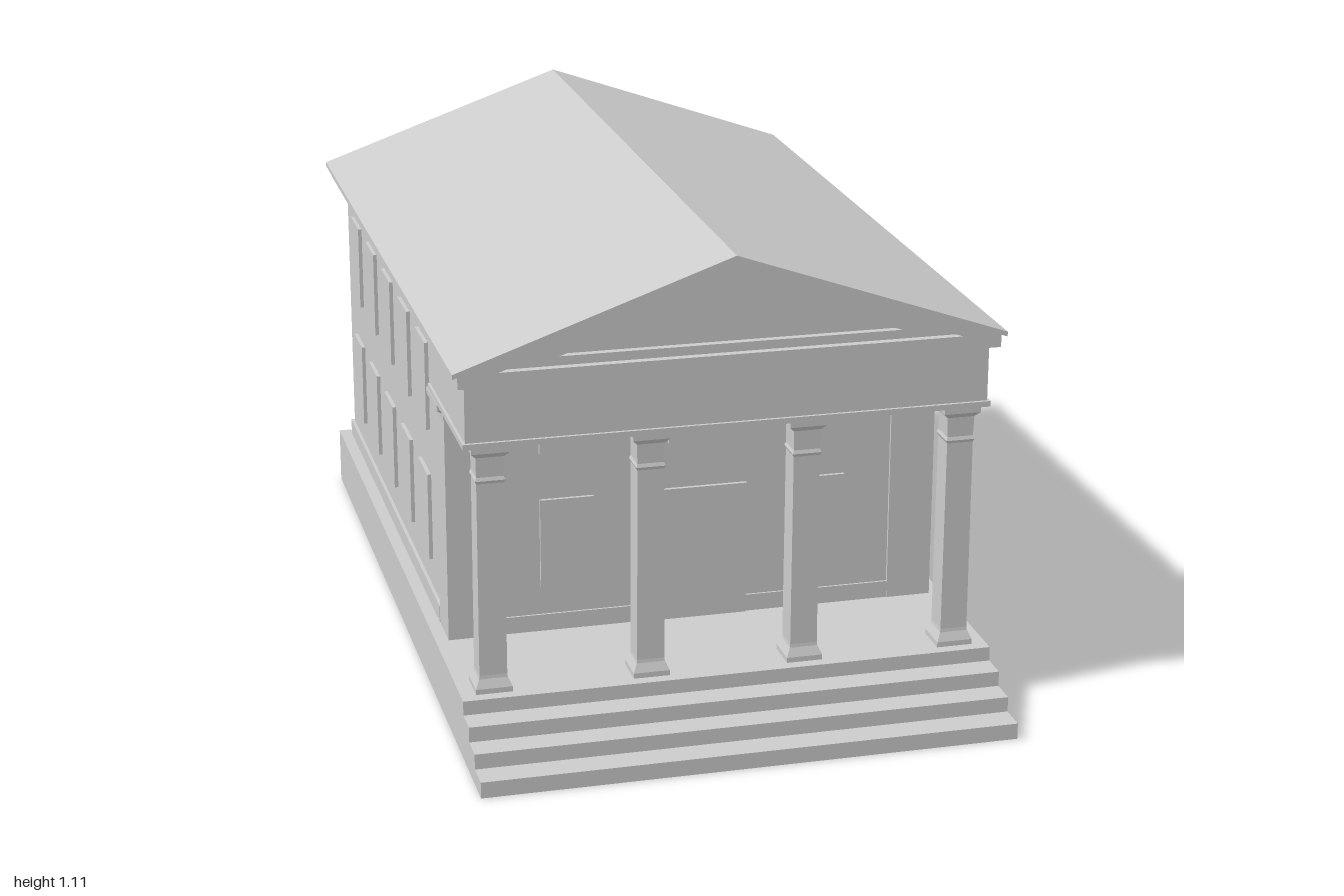
import * as THREE from 'three';

const stone = new THREE.MeshStandardMaterial({ color: 0xcccccc, flatShading: true });
stone.name = 'grey stone';

export function createModel() {
  const model = new THREE.Group();
  model.name = 'temple';

  const add = (name, geometry) => {
    const mesh = new THREE.Mesh(geometry, stone);
    mesh.name = name;
    model.add(mesh);
    return mesh;
  };

  // Box given by its limits on each axis
  const block = (name, x0, x1, y0, y1, z0, z1) => {
    const mesh = add(name, new THREE.BoxGeometry(x1 - x0, y1 - y0, z1 - z0));
    mesh.position.set((x0 + x1) / 2, (y0 + y1) / 2, (z0 + z1) / 2);
    return mesh;
  };

  // Outline in x and y, extruded from z0 to z1, with an optional hole
  const toPoints = (list) => list.map(([x, y]) => new THREE.Vector2(x, y));
  const slab = (name, outline, z0, z1, hole) => {
    const shape = new THREE.Shape(toPoints(outline));
    if (hole) shape.holes.push(new THREE.Path(toPoints(hole)));
    const mesh = add(name, new THREE.ExtrudeGeometry(shape, { depth: z1 - z0, bevelEnabled: false }));
    mesh.position.z = z0;
    return mesh;
  };

  // Square pier turned from a [half width, height] profile
  const pier = (name, profile, x, z, sx = 1, sz = 1) => {
    const points = toPoints(profile.map(([w, y]) => [w * Math.SQRT2, y]));
    const geometry = new THREE.LatheGeometry(points, 4).rotateY(Math.PI / 4).toNonIndexed();
    geometry.computeVertexNormals();
    const mesh = add(name, geometry);
    mesh.position.set(x, 0, z);
    mesh.scale.set(sx, 1, sz);
  };

  // Platform and front steps
  block('platform', -0.605, 0.605, 0, 0.14, -0.99, 0.81);
  [[0.107, 0.873], [0.072, 0.935], [0.037, 1]].forEach(([top, front]) =>
    block('step', -0.605, 0.605, 0, top, 0.8, front));

  // Main hall with a low plinth
  block('hall', -0.568, 0.568, 0.14, 0.856, -0.95, 0.47);
  block('hallPlinth', -0.576, 0.576, 0.14, 0.18, -0.96, 0.37);
  block('frontPlinth', -0.47, 0.47, 0.14, 0.18, 0.4, 0.475);

  // Corner pilasters with flared capitals
  const capital = [[0, 0.655], [0.0525, 0.655], [0.054, 0.685], [0.07, 0.698], [0.07, 0.712], [0, 0.712]];
  for (const side of [-1, 1]) {
    const pilaster = block('pilaster', -0.0525, 0.0525, 0.14, 0.856, 0.37, 0.477);
    pilaster.position.x = side * 0.5225;
    pier('pilasterCapital', capital, side * 0.5225, 0.425, 1, 0.95);
  }

  // Porch columns
  const column = [
    [0, 0.14], [0.041, 0.14], [0.041, 0.152], [0.032, 0.172], [0.031, 0.18], [0.03, 0.625],
    [0.033, 0.632], [0.03, 0.64], [0.031, 0.685], [0.042, 0.697], [0.042, 0.712], [0, 0.712],
  ];
  for (const x of [-0.53, -0.176, 0.176, 0.53]) pier('column', column, x, 0.742);

  // Door and windows
  const rows = [[0.25, 0.46], [0.57, 0.78]];
  block('door', -0.125, 0.125, 0.14, 0.46, 0.46, 0.479);
  block('frontWindow', -0.06, 0.06, ...rows[1], 0.46, 0.478);
  for (const [y0, y1] of rows) {
    for (const side of [-1, 1]) {
      const front = block('frontWindow', -0.0625, 0.0625, y0, y1, 0.46, 0.478);
      front.position.x = side * 0.297;
      for (let i = 0; i < 5; i++) {
        const z = 0.19 - i * 0.243;
        const pane = block('sideWindow', -0.009, 0.009, y0, y1, z - 0.0625, z + 0.0625);
        pane.position.x = side * 0.568;
      }
    }
  }

  // Beams carried by the columns, with a fillet along the lower edge
  const beams = (name, out, front, y0, y1) => {
    block(name, -out, out, y0, y1, 0.7, front);
    block(name, -out, -0.5, y0, y1, 0.37, 0.7);
    block(name, 0.5, out, y0, y1, 0.37, 0.7);
  };
  beams('beam', 0.585, 0.785, 0.715, 0.856);
  beams('beamFillet', 0.591, 0.792, 0.711, 0.724);

  // Cornice and gable, stepped back twice at the front
  block('cornice', -0.603, 0.603, 0.854, 0.885, -0.99, 0.81);
  const gable = [[-0.603, 0.884], [0.603, 0.884], [0, 1.096]];
  const outerRecess = [[-0.515, 0.885], [0.515, 0.885], [0, 1.068]];
  const innerRecess = [[-0.38, 0.905], [0.38, 0.905], [0, 1.04]];
  slab('gable', gable, -0.99, 0.775);
  slab('pedimentInnerFrame', gable, 0.775, 0.792, innerRecess);
  slab('pedimentOuterFrame', gable, 0.792, 0.81, outerRecess);

  // Pitched roof
  slab('roof', [
    [-0.615, 0.879], [0, 1.094], [0.615, 0.879], [0.615, 0.89], [0, 1.106], [-0.615, 0.89],
  ], -1, 0.816);

  return model;
}
